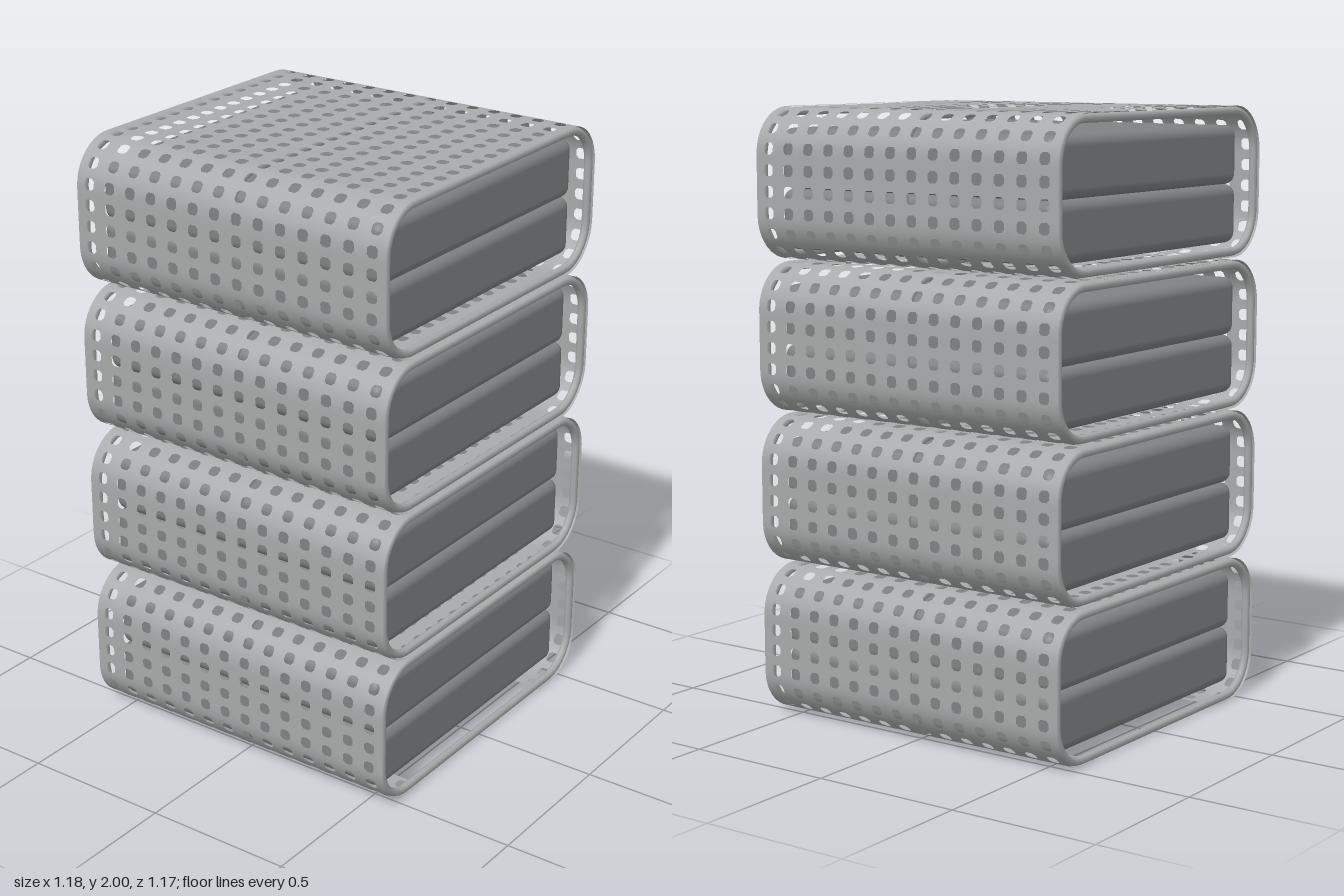
import * as THREE from 'three';
import { mergeGeometries } from 'three/addons/utils/BufferGeometryUtils.js';
import { RoundedBoxGeometry } from 'three/addons/geometries/RoundedBoxGeometry.js';

const W = 0.588, H = 0.493, D = 0.585, R = 0.15; // half width, height, half depth, corner radius
const PITCH = 0.5023;                            // vertical spacing of the baskets
const FLAT = W - R, ARC = R * Math.PI / 2, SIDE = H - 2 * R;
const HALF = 2 * FLAT + 2 * ARC + SIDE;          // half of the perimeter
const TUBE = 0.014;

// Point and outward normal on the rounded outline, s measured from the top centre
function outline(s) {
  const sign = s < 0 ? -1 : 1;
  let a = Math.abs(s), x, y, angle;
  if (a < FLAT) { x = a; y = H; angle = 0; }
  else if ((a -= FLAT) < ARC) {
    angle = a / R;
    x = FLAT + R * Math.sin(angle); y = H - R + R * Math.cos(angle);
  } else if ((a -= ARC) < SIDE) { x = W; y = H - R - a; angle = Math.PI / 2; }
  else if ((a -= SIDE) < ARC) {
    angle = Math.PI / 2 + a / R;
    x = FLAT + R * Math.sin(angle); y = R + R * Math.cos(angle);
  } else { x = FLAT - (a - ARC); y = 0; angle = Math.PI; }
  return { x: sign * x, y, nx: sign * Math.sin(angle), ny: Math.cos(angle) };
}

class RimCurve extends THREE.Curve {
  getPoint(t, target = new THREE.Vector3()) {
    const p = outline((2 * t - 1) * HALF);
    return target.set(p.x - p.nx * (TUBE + 0.003), p.y - p.ny * (TUBE + 0.003), 0);
  }
}

// Perforated sheet: square tiles with a chamfered hole, bent round the outline
function sheetGeometry() {
  const du = 0.0688, dv = 0.0824, rows = 14, cols = 17;
  const tile = new THREE.Shape();
  const u = du / 2, v = dv / 2;
  tile.moveTo(-u, -v);
  for (const [x, y] of [[-u / 3, -v], [u / 3, -v], [u, -v], [u, v], [u / 3, v], [-u / 3, v], [-u, v]]) tile.lineTo(x, y);
  const h = 0.0185, c = 0.010;
  tile.holes.push(new THREE.Path([
    [-c, -h], [-h, -c], [-h, c], [-c, h], [c, h], [h, c], [h, -c], [c, -h],
  ].map(([x, y]) => new THREE.Vector2(x, y))));
  const base = new THREE.ShapeGeometry(tile);
  base.deleteAttribute('uv');

  const tiles = [];
  for (let i = -cols; i < cols; i++) {
    for (let j = 0; j < rows; j++) {
      const g = base.clone(), pos = g.attributes.position, nor = g.attributes.normal;
      for (let k = 0; k < pos.count; k++) {
        const p = outline((i + 0.5) * du + pos.getX(k));
        let z = -((j - (rows - 1) / 2) * dv + pos.getY(k));
        if (Math.abs(z) > rows * v - 0.001) z = Math.sign(z) * D; // widen the end rows to the rim
        pos.setXYZ(k, p.x, p.y, z);
        nor.setXYZ(k, p.nx, p.ny, 0);
      }
      tiles.push(g);
    }
  }
  return mergeGeometries(tiles);
}

export function createModel() {
  const shellGrey = new THREE.MeshStandardMaterial({ color: 0xa8abab, side: THREE.DoubleSide });
  shellGrey.name = 'shellGrey';
  const cushionGrey = new THREE.MeshStandardMaterial({ color: 0x7f8183 });
  cushionGrey.name = 'cushionGrey';

  const sheet = sheetGeometry();
  const rim = new THREE.TubeGeometry(new RimCurve(), 112, TUBE, 8, true);
  const boxH = 0.194;
  const box = new RoundedBoxGeometry(1.068, boxH, 1.072, 4, 0.035);

  const model = new THREE.Group();
  model.name = 'stackedBaskets';
  const add = (group, name, geometry, material, y, z) => {
    const mesh = new THREE.Mesh(geometry, material);
    mesh.name = name;
    mesh.position.set(0, y, z);
    group.add(mesh);
  };

  for (let i = 0; i < 4; i++) {
    const basket = new THREE.Group();
    basket.name = `basket${i + 1}`;
    basket.position.y = i * PITCH;
    add(basket, 'perforatedShell', sheet, shellGrey, 0, 0);
    // Tube loops at both ends and in the middle
    const end = D - TUBE;
    add(basket, 'frontRim', rim, shellGrey, 0, end);
    add(basket, 'middleHoop', rim, shellGrey, 0, 0);
    add(basket, 'backRim', rim, shellGrey, 0, -end);
    // Two soft-edged blocks resting on the loops
    add(basket, 'lowerBlock', box, cushionGrey, 0.039 + boxH / 2, 0);
    add(basket, 'upperBlock', box, cushionGrey, 0.039 + boxH * 1.5, 0);
    model.add(basket);
  }
  return model;
}
